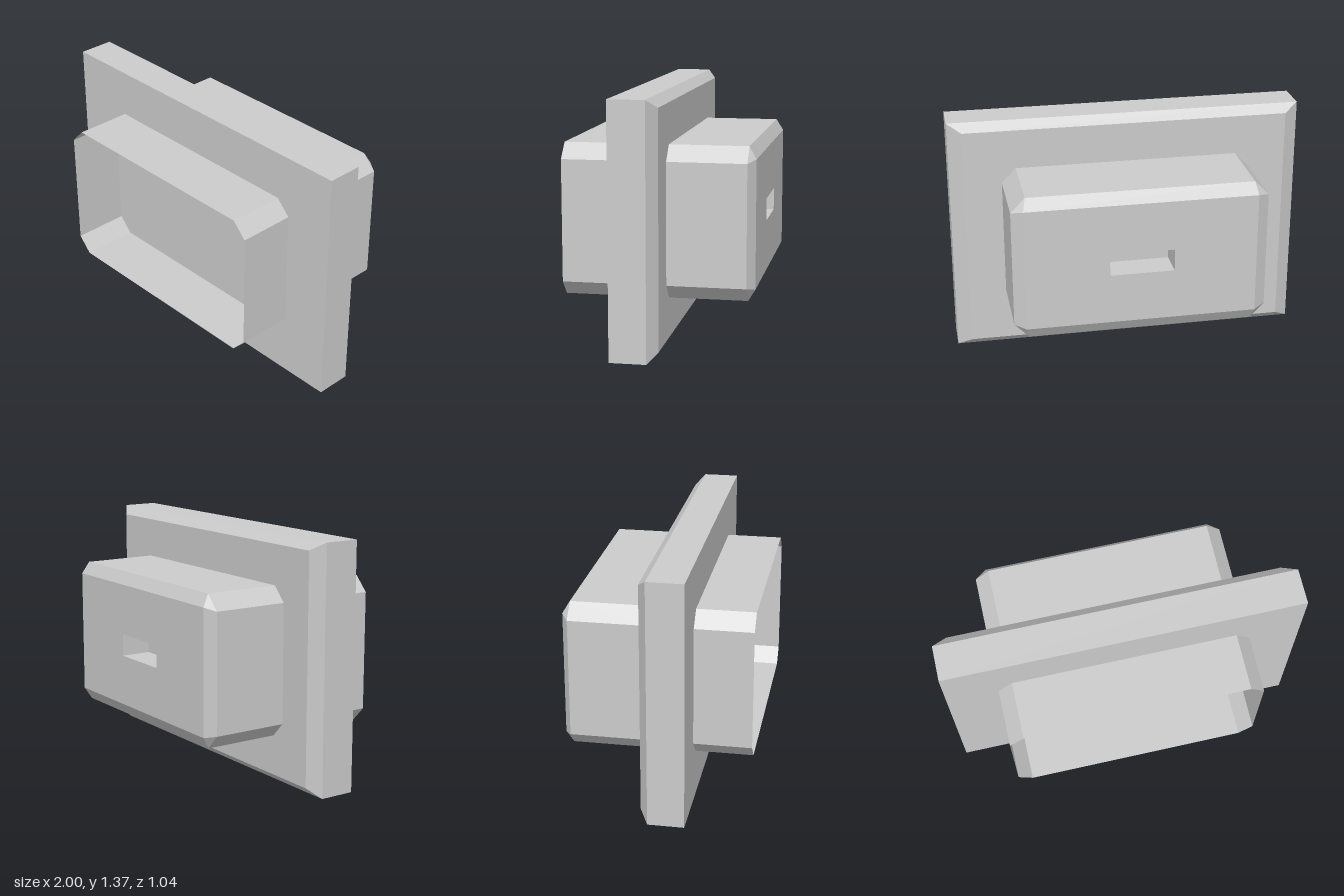
import * as THREE from 'three';

const CENTRE_Y = 0.687;
const grey = new THREE.MeshStandardMaterial({ color: 0xcccccc, flatShading: true });
const greyThin = new THREE.MeshStandardMaterial({ color: 0xcccccc, flatShading: true, side: THREE.DoubleSide });

// Rectangle with cut corners, as eight counter-clockwise points (cut 0 doubles the corners)
function ring(hw, hh, cutX, cutY, z) {
  const x = hw - cutX, y = hh - cutY;
  return [[hw, -y], [hw, y], [x, hh], [-x, hh], [-hw, y], [-hw, -y], [-x, -hh], [x, -hh]]
    .map(([px, py]) => new THREE.Vector3(px, py, z));
}

// Skin between successive rings; faces point outward when rings run from back to front
function loft(rings) {
  const pos = [];
  const tri = (a, b, c) => {
    if (new THREE.Triangle(a, b, c).getArea() > 1e-7) for (const v of [a, b, c]) pos.push(v.x, v.y, v.z);
  };
  for (let k = 0; k < rings.length - 1; k++) {
    const a = rings[k], b = rings[k + 1];
    for (let i = 0; i < a.length; i++) {
      const j = (i + 1) % a.length;
      tri(a[i], a[j], b[j]);
      tri(a[i], b[j], b[i]);
    }
  }
  const geo = new THREE.BufferGeometry();
  geo.setAttribute('position', new THREE.Float32BufferAttribute(pos, 3));
  geo.computeVertexNormals();
  return geo;
}

// Flat face at depth z, optionally with a hole, turned to the front or the back
function face(outline, z, toBack, hole) {
  const flat = (r) => r.map((p) => new THREE.Vector2(p.x, p.y));
  const shape = new THREE.Shape(flat(outline));
  if (hole) shape.holes.push(new THREE.Path(flat(hole).reverse()));
  const geo = new THREE.ShapeGeometry(shape);
  if (toBack) geo.rotateY(Math.PI);
  return geo.translate(0, 0, z);
}

// Plain rectangle outline for faces
function rect(hw, hh) {
  return [[hw, -hh], [hw, hh], [-hw, hh], [-hw, -hh]].map(([x, y]) => new THREE.Vector3(x, y, 0));
}

export function createModel() {
  const model = new THREE.Group();
  const part = (parent, name, geo, material = grey) => {
    const mesh = new THREE.Mesh(geo, material);
    mesh.name = name;
    parent.add(mesh);
  };
  const group = (name) => {
    const g = new THREE.Group();
    g.name = name;
    g.position.y = CENTRE_Y;
    model.add(g);
    return g;
  };

  // Wall plate with a bevelled back edge
  const plate = group('plate');
  part(plate, 'plateSides', loft([
    ring(0.92, 0.64, 0, 0, -0.05), ring(1, CENTRE_Y, 0, 0, 0), ring(1, CENTRE_Y, 0, 0, 0.2)]));
  part(plate, 'plateFront', face(rect(1, CENTRE_Y), 0.2, false));
  part(plate, 'plateBack', face(rect(0.92, 0.64), -0.05, true));

  // Thin open collar standing out of the front
  const section = (z) => ring(0.71, 0.417, 0.08, 0.083, z);
  part(group('frontCollar'), 'collarWall', loft([section(0.2), section(0.52)]), greyThin);

  // Back housing: cut corners run into a smaller rectangular end
  const housing = group('backHousing');
  const slotW = 0.18, slotH = 0.063;
  part(housing, 'housingWall', loft([ring(0.645, 0.35, 0, 0, -0.52), section(-0.48), section(-0.05)]));
  part(housing, 'housingEnd', face(rect(0.645, 0.35), -0.52, true, rect(slotW, slotH)));

  // Slot sunk into the end of the housing
  part(housing, 'slotWall', loft([ring(slotW, slotH, 0, 0, -0.35), ring(slotW, slotH, 0, 0, -0.52)]));
  part(housing, 'slotFloor', face(rect(slotW, slotH), -0.35, true));

  return model;
}
